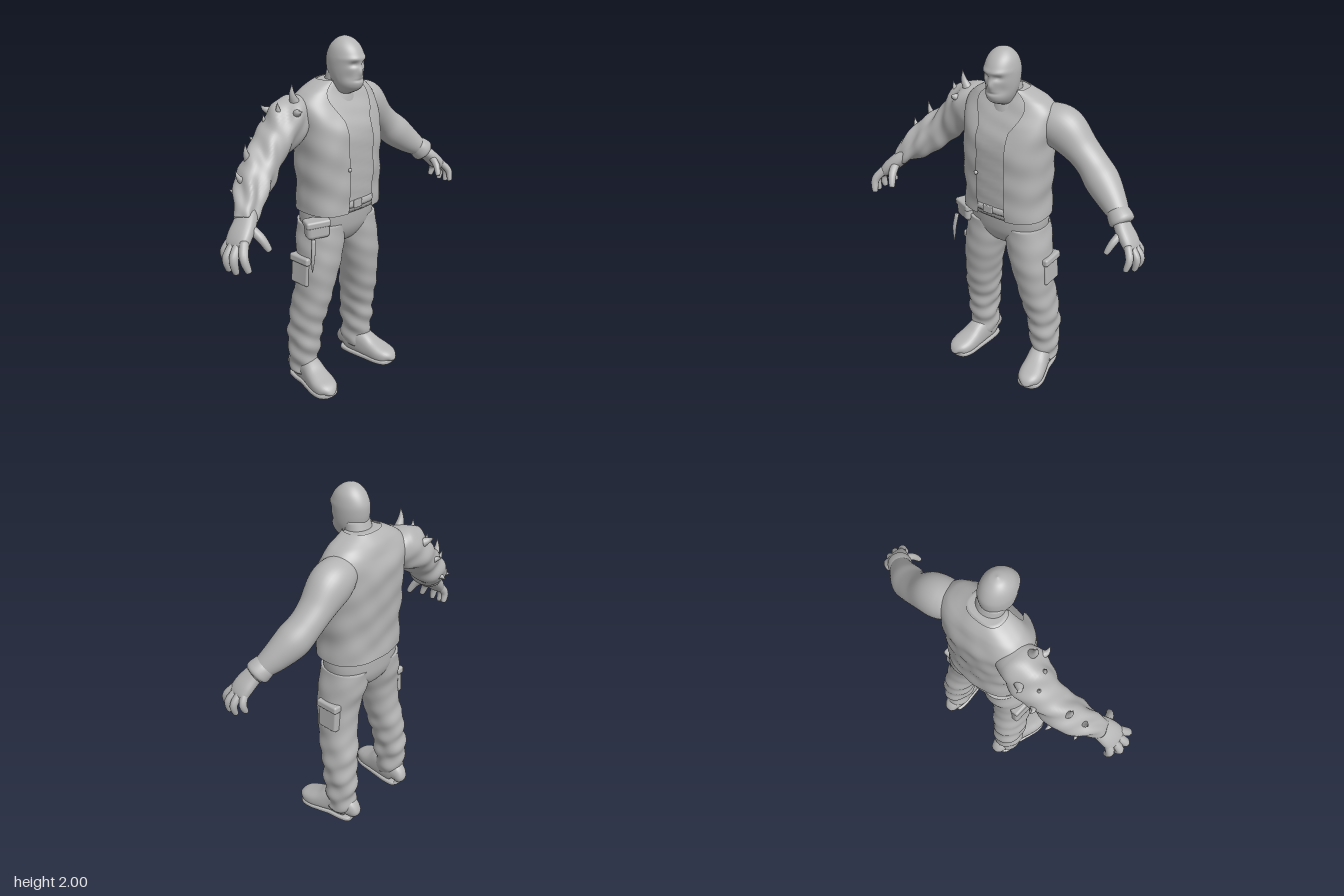
import * as THREE from 'three';
import { RoundedBoxGeometry } from 'three/addons/geometries/RoundedBoxGeometry.js';

const V = (x, y, z) => new THREE.Vector3(x, y, z);
const gauss = (x, y, cx, cy, sx, sy) => Math.exp(-(((x - cx) / sx) ** 2) - ((y - cy) / sy) ** 2);

// Smooth skin through elliptical sections [x, y, z, radiusU, radiusV].
// level: keep rings horizontal; gap(y): half angle left open at the front; mod: radial offset.
function loft(rows, { n = 32, m = 40, ref = V(0, 0, 1), level = false, power = 2, gap = null, mod = null, floor = null } = {}) {
  const path = new THREE.CatmullRomCurve3(rows.map(r => V(r[0], r[1], r[2])), false, 'catmullrom', 0.5);
  const size = new THREE.CatmullRomCurve3(rows.map(r => V(r[3], r[4], 0)), false, 'catmullrom', 0.5);
  const pos = [], idx = [], cols = gap ? n + 1 : n;
  for (let i = 0; i <= m; i++) {
    const t = i / m, c = path.getPoint(t), s = size.getPoint(t);
    const T = level ? V(0, 1, 0) : path.getTangent(t);
    const v = ref.clone().addScaledVector(T, -ref.dot(T)).normalize();
    const u = T.clone().cross(v);
    for (let j = 0; j < cols; j++) {
      const g = gap ? gap(c.y) : 0;
      const a = gap ? Math.PI / 2 + g + (j / n) * (2 * Math.PI - 2 * g) : (j / n) * 2 * Math.PI;
      const e = 2 / power, ca = Math.cos(a), sa = Math.sin(a);
      const off = u.clone().multiplyScalar(Math.max(s.x, 0.001) * Math.sign(ca) * Math.abs(ca) ** e)
        .addScaledVector(v, Math.max(s.y, 0.001) * Math.sign(sa) * Math.abs(sa) ** e);
      const p = c.clone().add(off);
      if (mod) p.addScaledVector(off.normalize(), mod(p, a, t));
      if (floor !== null) p.y = Math.max(p.y, floor);
      pos.push(p.x, p.y, p.z);
    }
  }
  for (let i = 0; i < m; i++) for (let j = 0; j < n; j++) {
    const k = gap ? j + 1 : (j + 1) % n;
    const a = i * cols + j, b = i * cols + k, c = a + cols, d = b + cols;
    idx.push(a, c, b, b, c, d);
  }
  if (!gap) [0, m].forEach((row, end) => {
    const c = path.getPoint(end), id = pos.length / 3;
    pos.push(c.x, floor === null ? c.y : Math.max(c.y, floor), c.z);
    for (let j = 0; j < n; j++) {
      const a = row * n + j, b = row * n + (j + 1) % n;
      end ? idx.push(id, b, a) : idx.push(id, a, b);
    }
  });
  const geo = new THREE.BufferGeometry();
  geo.setAttribute('position', new THREE.Float32BufferAttribute(pos, 3));
  geo.setIndex(idx);
  geo.computeVertexNormals();
  return geo;
}

// Horizontal section from height, centre x, half width, front z and back z
const ring = (y, x, rx, front, back) => [x, y, (front + back) / 2, rx, (front - back) / 2];

export function createModel() {
  const model = new THREE.Group();
  const grey = new THREE.MeshStandardMaterial({ color: 0xb4b4b4, side: THREE.DoubleSide });
  grey.name = 'plain grey';
  const add = (name, geo) => {
    const mesh = new THREE.Mesh(geo, grey);
    mesh.name = name;
    model.add(mesh);
    return mesh;
  };
  const box = (name, w, h, d, x, y, z, rz = 0, ry = 0) => {
    const b = add(name, new RoundedBoxGeometry(w, h, d, 2, Math.min(w, h, d) * 0.3));
    b.position.set(x, y, z);
    b.rotation.set(0, ry, rz);
    return b;
  };

  // Head with brow, eye sockets, nose and mouth
  const face = p => {
    if (p.z < 0.07) return 0;
    const x = Math.abs(p.x);
    return 0.014 * gauss(x, p.y, 0, 1.825, 0.014, 0.025) + 0.006 * gauss(x, p.y, 0.03, 1.893, 0.04, 0.012)
      - 0.014 * gauss(x, p.y, 0.036, 1.865, 0.02, 0.014) - 0.006 * gauss(x, p.y, 0, 1.782, 0.03, 0.006)
      - 0.006 * gauss(x, p.y, 0.055, 1.80, 0.02, 0.03);
  };
  add('head', loft([
    ring(1.70, 0, 0.045, 0.07, -0.05), ring(1.728, 0, 0.058, 0.13, -0.05), ring(1.76, 0, 0.072, 0.152, -0.055),
    ring(1.80, 0, 0.083, 0.15, -0.06), ring(1.85, 0, 0.088, 0.152, -0.068), ring(1.90, 0, 0.087, 0.152, -0.066),
    ring(1.95, 0, 0.073, 0.125, -0.042), ring(1.985, 0, 0.042, 0.083, -0.005), ring(2.0, 0, 0.002, 0.04, 0.036),
  ], { n: 72, m: 64, level: true, mod: face }));
  add('neck', loft([ring(1.58, 0, 0.13, 0.09, -0.15), ring(1.67, 0, 0.10, 0.075, -0.13),
    ring(1.74, 0, 0.082, 0.06, -0.09), ring(1.82, 0, 0.075, 0.06, -0.06)], { level: true, m: 16 }));

  // Torso: closed shirt under an open vest
  const torso = d => [
    ring(1.07, 0, 0.25 - d, 0.165 - d, -0.193 + d), ring(1.2, 0, 0.243 - d, 0.17 - d, -0.19 + d),
    ring(1.35, 0, 0.25 - d, 0.17 - d, -0.198 + d), ring(1.5, 0, 0.252 - d, 0.165 - d, -0.205 + d),
    ring(1.6, 0, 0.26 - d, 0.125 - d, -0.203 + d), ring(1.67, 0, 0.26 - d, 0.085 - d, -0.18 + d),
    ring(1.715, 0, 0.225 - d, 0.062 - d, -0.16 + d), ring(1.745, 0, 0.17 - d, 0.05 - d, -0.14 + d),
    ring(1.775, 0, 0.105 - d, 0.045 - d, -0.115 + d)];
  const folds = p => 0.003 * Math.sin(p.y * 38 + p.x * 16 + p.z * 9) + 0.002 * Math.sin(p.x * 40 - p.y * 21);
  add('shirt', loft(torso(0.014), { n: 48, m: 48, level: true, power: 2.6,
    mod: p => (p.z > 0 ? 0.002 * Math.sin(p.y * 70 + p.x * 20) : 0) }));
  const opening = y => 0.26 + 0.45 * Math.max(0, (y - 1.58) / 0.2);
  add('vest', loft(torso(0), { n: 72, m: 64, level: true, power: 2.6, gap: opening, mod: folds }));
  add('vestButton', new THREE.SphereGeometry(0.011, 12, 8)).position.set(-0.09, 1.32, 0.166);

  // Trousers: seat, belt and two legs
  add('trouserSeat', loft([ring(0.85, 0, 0.05, 0.03, -0.08), ring(0.89, 0, 0.14, 0.08, -0.14),
    ring(0.95, 0, 0.215, 0.115, -0.168), ring(1.02, 0, 0.236, 0.13, -0.175), ring(1.13, 0, 0.23, 0.14, -0.175)],
    { level: true, power: 2.3, m: 24 }));
  add('belt', loft([ring(1.095, 0, 0.236, 0.156, -0.178), ring(1.135, 0, 0.236, 0.158, -0.178)],
    { level: true, power: 2.6, m: 2, n: 48 }));
  box('buckle', 0.06, 0.045, 0.016, -0.02, 1.115, 0.158);

  const creases = p => {
    const low = Math.min(1, Math.max(0.25, (0.75 - p.y) * 2.2));
    return low * (0.006 * Math.sin(p.y * 52 + p.x * 22 + p.z * 18) + 0.004 * Math.sin(p.y * 31 - p.z * 34));
  };
  for (const s of [1, -1]) {
    const side = s > 0 ? 'left' : 'right';
    add(side + 'TrouserLeg', loft([
      ring(0.065, s * 0.222, 0.072, 0.0, -0.15), ring(0.15, s * 0.222, 0.075, 0.02, -0.172),
      ring(0.3, s * 0.218, 0.083, 0.035, -0.174), ring(0.45, s * 0.204, 0.093, 0.065, -0.165),
      ring(0.6, s * 0.183, 0.1, 0.095, -0.14), ring(0.75, s * 0.16, 0.115, 0.115, -0.132),
      ring(0.88, s * 0.136, 0.125, 0.12, -0.158), ring(1.0, s * 0.12, 0.115, 0.115, -0.165),
    ], { level: true, power: 2.2, n: 48, m: 80, mod: creases }));
    // Cargo pocket with flap
    box(side + 'CargoPocket', 0.045, 0.15, 0.13, s * 0.262, 0.725, -0.035, s * 0.08);
    box(side + 'PocketFlap', 0.055, 0.045, 0.145, s * 0.264, 0.80, -0.035, s * 0.08);
    // Boot and sole run from heel to toe, toes turned out
    const boot = (grow, h) => [[-0.162, 0.21, 0.02, 0.05], [-0.148, 0.212, 0.048, 0.13], [-0.09, 0.217, 0.06, 0.17],
      [-0.02, 0.224, 0.062, 0.165], [0.05, 0.238, 0.069, 0.125], [0.11, 0.249, 0.074, 0.1],
      [0.16, 0.258, 0.064, 0.082], [0.183, 0.262, 0.04, 0.06], [0.19, 0.263, 0.008, 0.03]]
      .map(([z, x, w, top]) => [s * x, (h ?? top) / 2, z, w + grow, (h ?? top) / 2 + 0.002]);
    add(side + 'Boot', loft(boot(0, null), { ref: V(0, 1, 0), power: 2.5, floor: 0.005, m: 32 }));
    add(side + 'BootSole', loft(boot(0.005, 0.028), { ref: V(0, 1, 0), power: 4, floor: 0, m: 32 }));
  }

  // Belt pouch and hanging tool on the right hip
  box('beltPouch', 0.13, 0.10, 0.08, -0.235, 1.0, 0.06, 0.06, -0.45);
  box('pouchFlap', 0.138, 0.04, 0.088, -0.235, 1.035, 0.06, 0.06, -0.45);
  add('hangingTool', loft([[-0.29, 0.96, 0.09, 0.012, 0.012], [-0.302, 0.88, 0.1, 0.012, 0.01],
    [-0.305, 0.83, 0.1, 0.009, 0.007], [-0.31, 0.78, 0.1, 0.003, 0.003]], { n: 10, m: 12 }));

  // Arms: the left is smooth, the right is lumpy
  add('leftArm', loft([[0.15, 1.61, -0.075, 0.07, 0.08], [0.22, 1.605, -0.08, 0.105, 0.105], [0.30, 1.572, -0.09, 0.12, 0.11],
    [0.40, 1.488, -0.095, 0.09, 0.095], [0.47, 1.425, -0.09, 0.085, 0.09], [0.54, 1.36, -0.07, 0.092, 0.093],
    [0.62, 1.292, -0.035, 0.076, 0.075], [0.685, 1.24, 0.0, 0.054, 0.058], [0.72, 1.205, 0.02, 0.04, 0.052]],
    { n: 40, m: 56 }));
  add('leftWristCuff', loft([[0.665, 1.258, -0.01, 0.055, 0.06], [0.685, 1.24, 0.0, 0.063, 0.066],
    [0.71, 1.217, 0.013, 0.066, 0.067], [0.72, 1.207, 0.018, 0.045, 0.05]], { m: 10 }));
  const lumps = (p, a, t) => Math.min(1, t * 4) * (0.008 * Math.sin(p.x * 42 + a * 2) * Math.cos(p.y * 30 + a)
    + 0.006 * Math.sin(a * 4 + p.x * 30));
  add('rightArm', loft([[-0.15, 1.61, -0.075, 0.07, 0.08], [-0.22, 1.605, -0.08, 0.105, 0.108], [-0.30, 1.58, -0.085, 0.12, 0.118],
    [-0.39, 1.50, -0.085, 0.1, 0.11], [-0.47, 1.42, -0.075, 0.09, 0.098], [-0.54, 1.355, -0.055, 0.098, 0.1],
    [-0.62, 1.285, -0.01, 0.088, 0.085], [-0.685, 1.225, 0.03, 0.066, 0.066], [-0.72, 1.185, 0.05, 0.045, 0.055]],
    { n: 56, m: 80, mod: lumps }));

  // Hands: palm, four curled fingers and a thumb
  function hand(side, s, k, shift) {
    const w = V(0.70, 1.225, 0.015);
    const at = ([x, y, z], a, b) => {
      const p = V(x, y, z).sub(w).multiplyScalar(k).add(w).add(shift);
      return [s * p.x, p.y, p.z, a * k, b * k];
    };
    add(side + 'Palm', loft([at([0.695, 1.23, 0.012], 0.036, 0.045), at([0.735, 1.19, 0.035], 0.036, 0.056),
      at([0.775, 1.15, 0.05], 0.034, 0.062), at([0.803, 1.115, 0.058], 0.026, 0.056), at([0.812, 1.1, 0.06], 0.006, 0.02)],
      { power: 2.4, n: 24, m: 20 }));
    const digits = {
      IndexFinger: [[0.79, 1.14, 0.095], [0.822, 1.09, 0.13], [0.815, 1.035, 0.148]],
      MiddleFinger: [[0.797, 1.13, 0.07], [0.843, 1.08, 0.09], [0.838, 1.02, 0.095]],
      RingFinger: [[0.797, 1.13, 0.045], [0.845, 1.075, 0.048], [0.838, 1.02, 0.048]],
      LittleFinger: [[0.788, 1.14, 0.02], [0.822, 1.085, 0.005], [0.81, 1.04, 0.0]],
      Thumb: [[0.735, 1.185, 0.06], [0.718, 1.145, 0.115], [0.70, 1.095, 0.145]],
    };
    for (const [name, [a, b, c]] of Object.entries(digits)) {
      const tip = c.map((q, i) => q + (c[i] - b[i]) * 0.12);
      add(side + name, loft([at(a, 0.021, 0.021), at(b, 0.02, 0.02), at(c, 0.014, 0.014), at(tip, 0.003, 0.003)],
        { n: 14, m: 18, ref: V(0.3, 0, 1) }));
    }
  }
  hand('left', 1, 1, V(0, 0, 0));
  hand('right', -1, 1.18, V(-0.015, -0.01, 0.022));

  // Curved spikes growing from the right arm: base, tip, base radius
  [[[-0.28, 1.67, -0.04], [-0.312, 1.785, -0.03], 0.03], [[-0.35, 1.6, -0.06], [-0.395, 1.70, -0.05], 0.028],
    [[-0.385, 1.55, -0.12], [-0.425, 1.63, -0.13], 0.024], [[-0.555, 1.40, -0.08], [-0.597, 1.525, -0.07], 0.03],
    [[-0.63, 1.33, -0.03], [-0.685, 1.41, -0.045], 0.026], [[-0.31, 1.635, 0.0], [-0.325, 1.66, 0.06], 0.028],
    [[-0.33, 1.62, -0.17], [-0.36, 1.65, -0.22], 0.026], [[-0.42, 1.48, -0.16], [-0.45, 1.5, -0.215], 0.024],
    [[-0.52, 1.34, -0.13], [-0.53, 1.33, -0.19], 0.024], [[-0.63, 1.28, -0.07], [-0.67, 1.29, -0.12], 0.022],
  ].forEach(([b, t, r], i) => {
    const mid = b.map((q, k) => (q + t[k]) / 2);
    mid[0] -= 0.012;
    add('armSpike' + (i + 1), loft([[...b, r, r], [...mid, r * 0.55, r * 0.55], [...t, 0.001, 0.001]],
      { n: 12, m: 12, ref: V(0.6, 0, 0.8) }));
  });
  return model;
}
